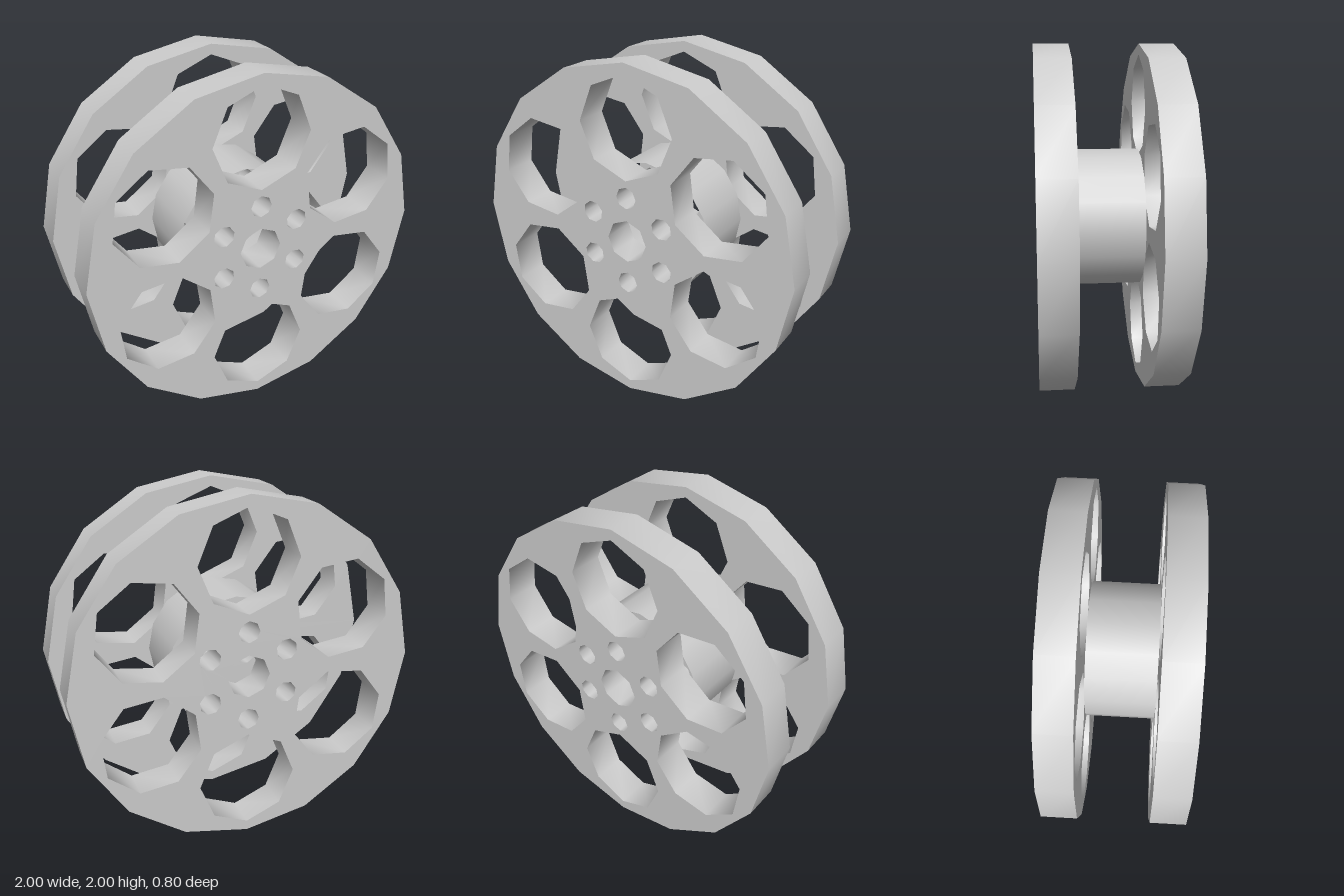
import * as THREE from 'three';
import { toCreasedNormals } from 'three/addons/utils/BufferGeometryUtils.js';

const RIM_R = 1, PLATE_T = 0.2, GAP = 0.4, HUB_R = 0.4;

// Corners of a regular polygon whose first corner points along angle `turn`
function polygon(sides, radius, cx = 0, cy = 0, turn = 0) {
  return Array.from({ length: sides }, (_, i) => {
    const a = turn + (i / sides) * Math.PI * 2;
    return new THREE.Vector2(cx + radius * Math.cos(a), cy + radius * Math.sin(a));
  });
}

// Six eight-sided holes in a ring, each turned to face the centre
function addHoleRing(shape, distance, radius) {
  for (let i = 0; i < 6; i++) {
    const a = Math.PI / 6 + (i * Math.PI) / 3;
    shape.holes.push(new THREE.Path(
      polygon(8, radius, distance * Math.cos(a), distance * Math.sin(a), a)));
  }
}

export function createModel() {
  const model = new THREE.Group();
  model.name = 'spool';
  const material = new THREE.MeshStandardMaterial({ color: 0xcccccc });

  // Flange outline: rim, axle hole, bolt holes and large windows
  const outline = new THREE.Shape(polygon(16, RIM_R));
  outline.holes.push(new THREE.Path(polygon(8, 0.125)));
  addHoleRing(outline, 0.26, 0.063);
  addHoleRing(outline, 0.65, 0.29);
  const flangeGeometry = toCreasedNormals(
    new THREE.ExtrudeGeometry(outline, { depth: PLATE_T, bevelEnabled: false }),
    Math.PI / 3);

  // Front and back flanges
  for (const [name, z] of [['frontFlange', GAP / 2], ['backFlange', -GAP / 2 - PLATE_T]]) {
    const flange = new THREE.Mesh(flangeGeometry, material);
    flange.name = name;
    flange.position.set(0, RIM_R, z);
    model.add(flange);
  }

  // Hollow hub between the flanges, open at both ends
  const hubMaterial = material.clone();
  hubMaterial.side = THREE.DoubleSide;
  const hub = new THREE.Mesh(
    new THREE.CylinderGeometry(HUB_R, HUB_R, GAP, 16, 1, true), hubMaterial);
  hub.name = 'hub';
  hub.rotation.x = Math.PI / 2;
  hub.position.y = RIM_R;
  model.add(hub);

  return model;
}
